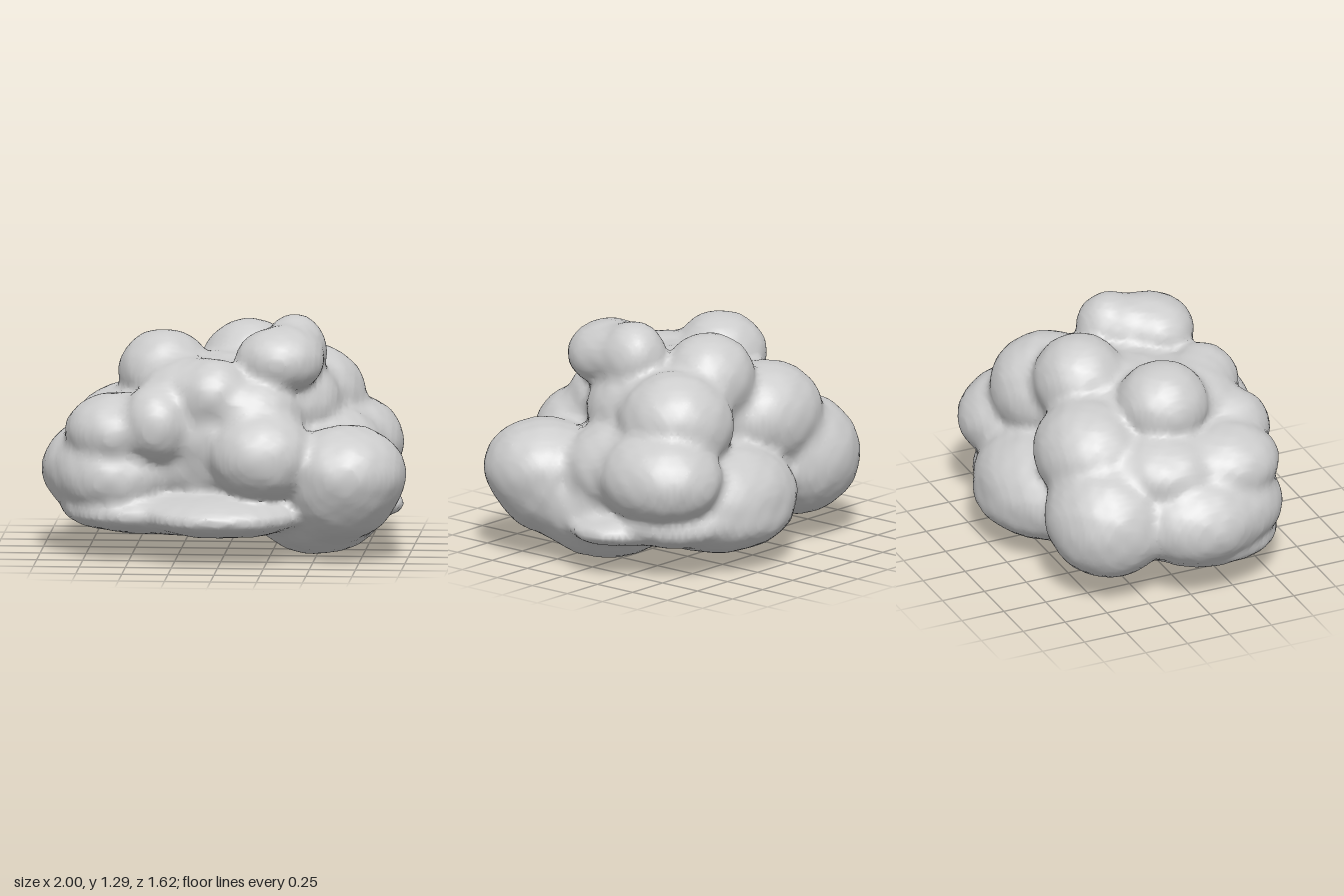
import * as THREE from 'three';

// Puffs as ellipsoids: centre x, y, z, then radii x, y, z
const crown = [
  [0.30, 1.07, 0.27, 0.24, 0.18, 0.21],
  [0.37, 1.10, 0.03, 0.17, 0.19, 0.18],
  [0.34, 1.08, 0.15, 0.19, 0.17, 0.22],
  [-0.34, 0.97, 0.02, 0.25, 0.23, 0.25],
  [0.10, 0.97, -0.27, 0.26, 0.25, 0.25],
  [-0.05, 0.89, 0.38, 0.21, 0.20, 0.21],
  [-0.18, 0.87, 0.25, 0.29, 0.21, 0.27],
];
const sides = [
  [0.42, 0.79, -0.31, 0.31, 0.29, 0.32],
  [-0.25, 0.72, -0.37, 0.34, 0.29, 0.30],
  [-0.50, 0.45, -0.38, 0.36, 0.33, 0.34],
  [-0.64, 0.45, 0.08, 0.36, 0.28, 0.39],
  [-0.58, 0.68, 0.29, 0.28, 0.21, 0.29],
  [-0.35, 0.74, 0.41, 0.20, 0.22, 0.23],
  [-0.58, 0.44, 0.27, 0.33, 0.25, 0.32],
  [-0.50, 0.70, -0.05, 0.32, 0.20, 0.32],
  [0.22, 0.58, 0.49, 0.29, 0.25, 0.28],
  [0.16, 0.77, 0.32, 0.27, 0.24, 0.28],
  [-0.06, 0.66, 0.28, 0.30, 0.28, 0.29],
  [0.67, 0.48, 0.41, 0.33, 0.26, 0.33],
  [0.64, 0.38, 0.36, 0.31, 0.27, 0.33],
  [0.62, 0.54, -0.37, 0.31, 0.26, 0.36],
  [0.53, 0.52, -0.05, 0.33, 0.27, 0.36],
  [0.18, 0.36, -0.42, 0.46, 0.30, 0.39],
];
const base = [
  [0.00, 0.72, 0.00, 0.52, 0.36, 0.48],
  [0.28, 0.80, -0.02, 0.34, 0.28, 0.36],
  [0.05, 0.50, 0.00, 0.72, 0.32, 0.54],
  [-0.10, 0.33, -0.08, 0.62, 0.24, 0.50],
  [0.50, 0.30, 0.12, 0.38, 0.30, 0.42],
  [0.00, 0.25, 0.42, 0.45, 0.12, 0.39],
  [-0.42, 0.25, 0.20, 0.46, 0.13, 0.42],
  [0.66, 0.24, -0.12, 0.29, 0.09, 0.27],
  [0.48, 0.28, -0.36, 0.34, 0.14, 0.34],
  [0.20, 0.27, -0.46, 0.38, 0.17, 0.35],
];
const puffs = [...crown, ...sides, ...base];

// Approximate distance to one ellipsoid
function ellipsoid([cx, cy, cz, rx, ry, rz], x, y, z) {
  const px = (x - cx) / rx, py = (y - cy) / ry, pz = (z - cz) / rz;
  const a = Math.hypot(px, py, pz);
  const b = Math.hypot(px / rx, py / ry, pz / rz);
  return b < 1e-6 ? -Math.min(rx, ry, rz) : a * (a - 1) / b;
}

// Soft union of all puffs, with a slight uneven surface
function field(x, y, z) {
  const k = 0.05;
  let d = 10;
  for (const p of puffs) {
    const e = ellipsoid(p, x, y, z);
    const h = Math.max(k - Math.abs(d - e), 0) / k;
    d = Math.min(d, e) - h * h * k / 4;
  }
  return d + 0.004 * Math.sin(19 * x + 4 * y) * Math.sin(17 * y + 5 * z) * Math.sin(18 * z + 3 * x)
    + 0.003 * Math.sin(41 * x + 1) * Math.sin(37 * y) * Math.sin(43 * z + 2);
}

// Turns the field into one skin: a vertex per crossed cell, a quad per crossed edge
function skin(min, size, step) {
  const n = size.map((s) => Math.ceil(s / step) + 1);
  const stride = [1, n[0], n[0] * n[1]];
  const total = n[0] * n[1] * n[2];
  const values = new Float32Array(total);
  const cellVertex = new Int32Array(total).fill(-1);
  const positions = [], indices = [];
  const at = (i, j, k) => i + j * stride[1] + k * stride[2];
  const eachPoint = (from, trim, visit) => {
    for (let k = from; k < n[2] - trim; k++)
      for (let j = from; j < n[1] - trim; j++)
        for (let i = from; i < n[0] - trim; i++) visit(i, j, k, at(i, j, k));
  };
  eachPoint(0, 0, (i, j, k, id) => {
    values[id] = field(min[0] + i * step, min[1] + j * step, min[2] + k * step);
  });
  eachPoint(0, 1, (i, j, k, id) => {
    const sum = [0, 0, 0];
    let count = 0;
    for (let c = 0; c < 8; c++) {
      const corner = [c & 1, (c >> 1) & 1, c >> 2];
      const v0 = values[id + at(...corner)];
      for (let a = 0; a < 3; a++) {
        if (corner[a]) continue;
        const v1 = values[id + at(...corner) + stride[a]];
        if ((v0 < 0) === (v1 < 0)) continue;
        for (let b = 0; b < 3; b++) sum[b] += corner[b];
        sum[a] += v0 / (v0 - v1);
        count++;
      }
    }
    if (!count) return;
    cellVertex[id] = positions.length / 3;
    [i, j, k].forEach((g, a) => positions.push(min[a] + (g + sum[a] / count) * step));
  });
  eachPoint(1, 1, (i, j, k, id) => {
    for (let a = 0; a < 3; a++) {
      const inside = values[id] < 0;
      if (inside === (values[id + stride[a]] < 0)) continue;
      const b = stride[(a + 1) % 3], c = stride[(a + 2) % 3];
      const q = [id, id - b, id - b - c, id - c].map((cell) => cellVertex[cell]);
      if (!inside) q.reverse();
      indices.push(q[0], q[1], q[2], q[0], q[2], q[3]);
    }
  });
  const geometry = new THREE.BufferGeometry();
  geometry.setAttribute('position', new THREE.Float32BufferAttribute(positions, 3));
  geometry.setIndex(indices);
  geometry.computeVertexNormals();
  return geometry;
}

export function createModel() {
  const group = new THREE.Group();
  group.name = 'cloud';
  const cloudGrey = new THREE.MeshStandardMaterial({ color: 0xcccccc });
  cloudGrey.name = 'cloud grey';

  // One blended body, stood on the ground
  const geometry = skin([-1.1, -0.1, -0.95], [2.2, 1.5, 1.9], 0.025);
  geometry.computeBoundingBox();
  geometry.translate(0, -geometry.boundingBox.min.y, 0);

  const body = new THREE.Mesh(geometry, cloudGrey);
  body.name = 'cloudBody';
  group.add(body);
  return group;
}
